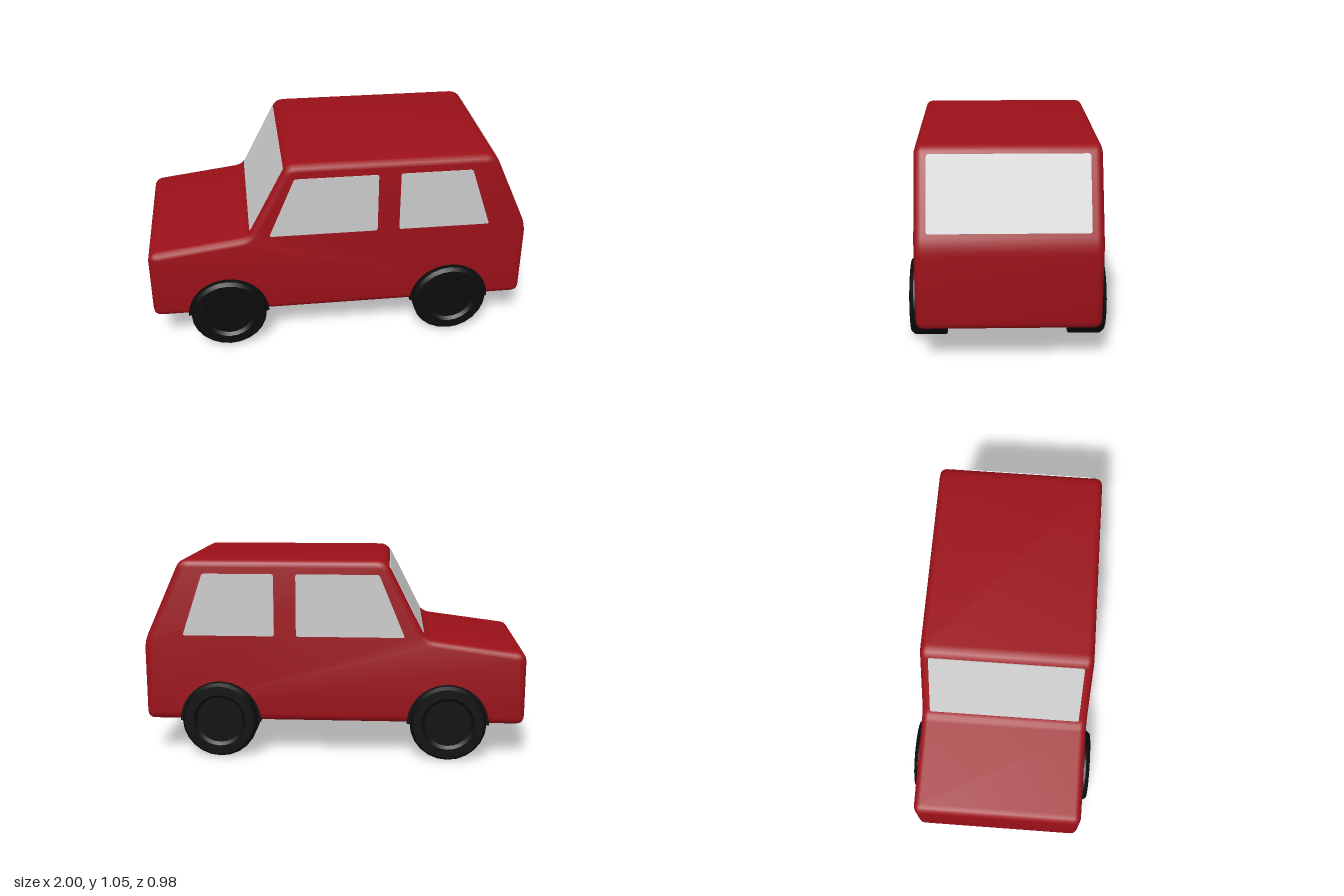
import * as THREE from 'three';
import { toCreasedNormals } from 'three/addons/utils/BufferGeometryUtils.js';

const red = new THREE.MeshStandardMaterial({ color: 0x9c1019 });
const black = new THREE.MeshStandardMaterial({ color: 0x0c0c0c });
const glass = new THREE.MeshStandardMaterial({ color: 0xcccccc });

// Closed outline with each corner softened by radius r
function roundedShape(points, r) {
  const p = points.map(([x, y]) => new THREE.Vector2(x, y));
  const shape = new THREE.Shape();
  p.forEach((c, i) => {
    const prev = p[(i + p.length - 1) % p.length], next = p[(i + 1) % p.length];
    const a = c.clone().add(prev.clone().sub(c).setLength(r));
    const b = c.clone().add(next.clone().sub(c).setLength(r));
    if (i === 0) shape.moveTo(a.x, a.y); else shape.lineTo(a.x, a.y);
    shape.quadraticCurveTo(c.x, c.y, b.x, b.y);
  });
  shape.closePath();
  return shape;
}

function addMesh(parent, name, geometry, material) {
  const mesh = new THREE.Mesh(geometry, material);
  mesh.name = name;
  parent.add(mesh);
  return mesh;
}

const paneGeometry = (points, depth) =>
  new THREE.ExtrudeGeometry(roundedShape(points, 0.012), { depth, bevelEnabled: false, curveSegments: 4 });

// Pane lying on a sloping end of the cabin; a and b are its lower and upper [x, y]
function addSlopedPane(parent, name, a, b, halfWidth, outward) {
  const up = new THREE.Vector3(b[0] - a[0], b[1] - a[1], 0);
  const h = up.length() / 2;
  up.normalize();
  const across = new THREE.Vector3(0, 0, -outward);
  const normal = across.clone().cross(up);
  const pane = addMesh(parent, name, paneGeometry(
    [[-halfWidth, -h], [halfWidth, -h], [halfWidth, h], [-halfWidth, h]], 0.014), glass);
  pane.quaternion.setFromRotationMatrix(new THREE.Matrix4().makeBasis(across, up, normal));
  pane.position.set((a[0] + b[0]) / 2, (a[1] + b[1]) / 2, 0).addScaledVector(normal, -0.01);
}

export function createModel() {
  const car = new THREE.Group();
  car.name = 'car';

  // Body: side profile extruded across the width with soft edges
  const halfWidth = 0.445, bevel = 0.035;
  const profile = roundedShape([
    [-1, 0.19], [1, 0.19], [1, 0.61], [0.8, 1.047], [-0.27, 1.047], [-0.48, 0.64], [-1, 0.572],
  ], 0.045);
  const body = new THREE.ExtrudeGeometry(profile, {
    depth: 2 * (halfWidth - bevel), bevelThickness: bevel, bevelSize: bevel,
    bevelOffset: -bevel, bevelSegments: 3, curveSegments: 4,
  });
  body.translate(0, 0, bevel - halfWidth);
  addMesh(car, 'body', toCreasedNormals(body, 0.6), red);

  // Side windows on both flanks
  const windows = {
    frontSideWindow: [[-0.37, 0.65], [0.195, 0.65], [0.195, 0.975], [-0.235, 0.975]],
    rearSideWindow: [[0.31, 0.65], [0.79, 0.65], [0.68, 0.975], [0.31, 0.975]],
  };
  for (const [name, points] of Object.entries(windows)) {
    for (const side of [1, -1]) {
      const pane = addMesh(car, name, paneGeometry(points, 0.014), glass);
      pane.position.z = side > 0 ? halfWidth - 0.01 : -halfWidth - 0.004;
    }
  }

  // Windscreen and rear window
  addSlopedPane(car, 'windscreen', [-0.467, 0.665], [-0.287, 1.014], 0.4, -1);
  addSlopedPane(car, 'rearWindow', [0.973, 0.67], [0.817, 1.01], 0.385, 1);

  // Tyre with a recessed hub, turned around its axle
  const wheelProfile = [
    [0, 0.31], [0.2, 0.31], [0.2, 0.47], [0.185, 0.49], [0.138, 0.49], [0.122, 0.475], [0, 0.475],
  ].map(([r, z]) => new THREE.Vector2(r, z));
  const wheelGeometry = toCreasedNormals(
    new THREE.LatheGeometry(wheelProfile, 24).toNonIndexed(), 0.5);

  // Dark half-round arch behind each wheel
  const archShape = new THREE.Shape();
  archShape.absarc(0, 0, 0.215, 0, Math.PI, false);
  archShape.closePath();
  const archGeometry = new THREE.ExtrudeGeometry(archShape, { depth: 0.148, bevelEnabled: false, curveSegments: 16 });

  for (const x of [-0.6, 0.6]) {
    for (const side of [1, -1]) {
      const wheel = addMesh(car, 'wheel', wheelGeometry, black);
      wheel.rotation.x = side * Math.PI / 2;
      wheel.position.set(x, 0.202, 0);
      const arch = addMesh(car, 'wheelArch', archGeometry, black);
      arch.position.set(x, 0.187, side > 0 ? 0.3 : -0.448);
    }
  }
  return car;
}
